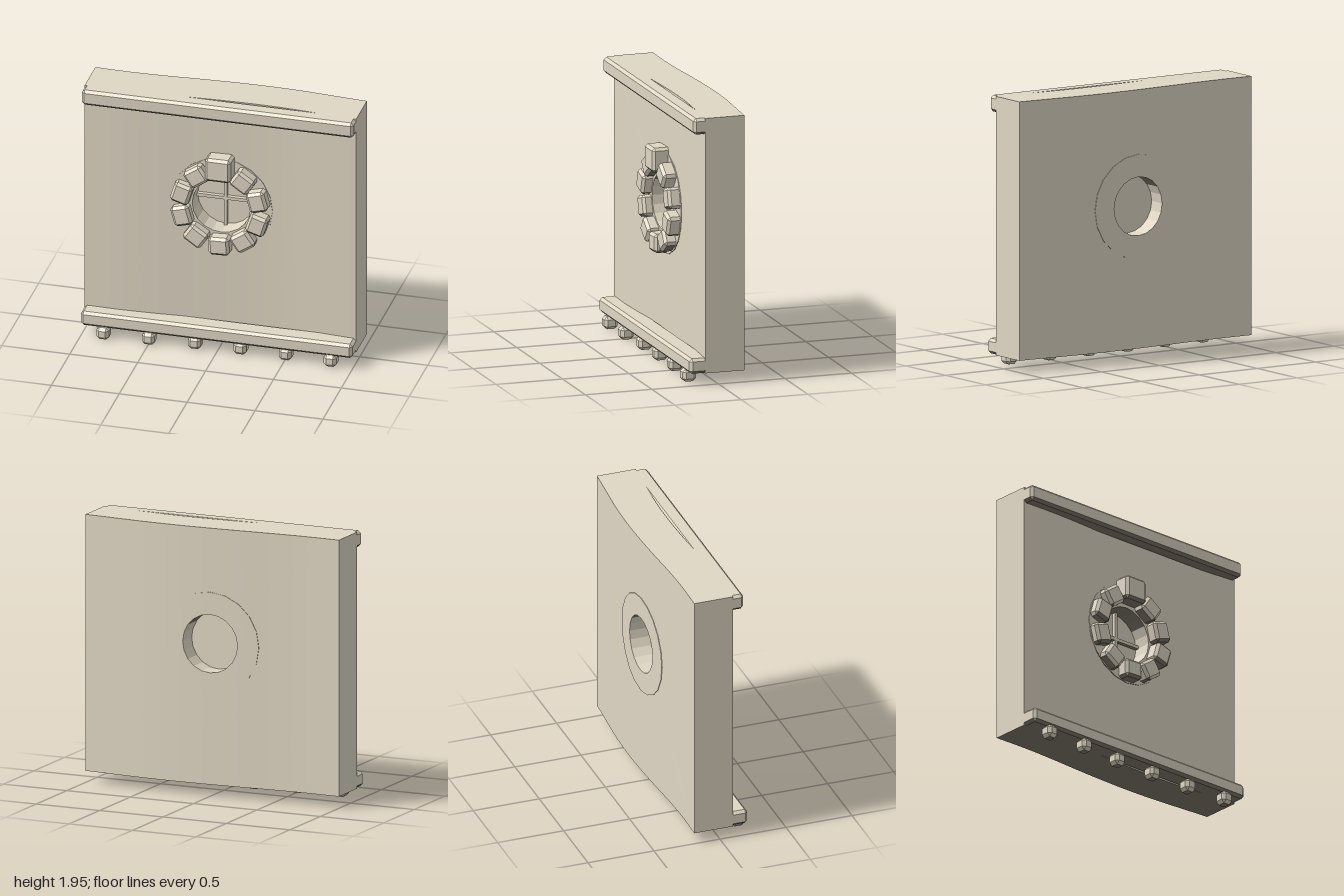
import * as THREE from 'three';
import { toCreasedNormals } from 'three/addons/utils/BufferGeometryUtils.js';
import { ConvexGeometry } from 'three/addons/geometries/ConvexGeometry.js';

const CY = 1.11; // height of the round window
const BOTTOM = 0.085, TOP = 1.95;

// gentle bow of the wall in z along x
const bow = new THREE.SplineCurve(
  [0, 0.004, -0.004, -0.02, -0.033, -0.039, -0.034, -0.017, 0].map((z, i) => new THREE.Vector2(-1 + i * 0.25, z))
);
const wave = (x) => bow.getPoint(THREE.MathUtils.clamp((x + 1) / 2, 0, 1)).y;

// bowed slab with a round hole; outer(a) gives the outline radius at each angle
function holedSlab(angles, inner, outer, front, back, steps) {
  const pos = [], index = [], m = 2 * (steps + 1), n = angles.length;
  for (const a of angles) {
    const R = outer(a);
    for (let j = 0; j < m; j++) {
      const isFront = j <= steps;
      const t = (isFront ? j : m - 1 - j) / steps;
      const r = inner + (R - inner) * t;
      const x = r * Math.cos(a);
      pos.push(x, CY + r * Math.sin(a), (isFront ? front : back) + wave(x));
    }
  }
  for (let i = 0; i < n; i++) {
    for (let j = 0; j < m; j++) {
      const k = (j + 1) % m, i2 = (i + 1) % n;
      const a = i * m + j, b = i * m + k, c = i2 * m + k, d = i2 * m + j;
      index.push(a, b, c, a, c, d);
    }
  }
  const g = new THREE.BufferGeometry();
  g.setAttribute('position', new THREE.Float32BufferAttribute(pos, 3));
  g.setIndex(index);
  return toCreasedNormals(g, 0.25);
}

// box with all edges chamfered by b
function chamferBox(w, h, d, b) {
  const pts = [];
  for (const x of [-w / 2, w / 2]) for (const y of [-h / 2, h / 2]) for (const z of [-d / 2, d / 2]) {
    const sx = Math.sign(x) * b, sy = Math.sign(y) * b, sz = Math.sign(z) * b;
    pts.push(
      new THREE.Vector3(x, y - sy, z - sz),
      new THREE.Vector3(x - sx, y, z - sz),
      new THREE.Vector3(x - sx, y - sy, z)
    );
  }
  return new ConvexGeometry(pts);
}

// geometry groups: 1 for undersides (normal below the limit), 0 for the rest
function markUndersides(geometry, angle, limit) {
  const g = geometry.index ? geometry.toNonIndexed() : geometry;
  g.clearGroups();
  const p = g.attributes.position, tri = new THREE.Triangle(), normal = new THREE.Vector3();
  let start = 0, current = -1;
  for (let i = 0; i <= p.count; i += 3) {
    let id = -1;
    if (i < p.count) {
      tri.setFromAttributeAndIndices(p, i, i + 1, i + 2).getNormal(normal);
      id = normal.x * Math.sin(angle) + normal.y * Math.cos(angle) < limit ? 1 : 0;
    }
    if (id !== current) {
      if (i > start) g.addGroup(start, i - start, current);
      start = i;
      current = id;
    }
  }
  return g;
}

export function createModel() {
  const root = new THREE.Group();
  root.name = 'wallPanel';
  const stone = new THREE.MeshStandardMaterial({ color: 0xe0d7c4 });
  stone.name = 'stone';
  const darkStone = new THREE.MeshStandardMaterial({ color: 0x7d776b });
  darkStone.name = 'darkStone';

  const add = (name, geometry, x, y, z, { parent = root, turn = 0, limit = -0.6 } = {}) => {
    const mesh = new THREE.Mesh(markUndersides(geometry, turn, limit), [stone, darkStone]);
    mesh.name = name;
    mesh.position.set(x, y, z);
    mesh.rotation.z = turn;
    parent.add(mesh);
  };
  const group = (name) => {
    const g = new THREE.Group();
    g.name = name;
    root.add(g);
    return g;
  };

  // wall: rectangular outline, sampled through its exact corners
  const angles = [];
  for (let i = 0; i < 96; i++) angles.push((i / 96) * Math.PI * 2);
  for (const x of [-1, 1]) for (const y of [BOTTOM, TOP]) {
    angles.push((Math.atan2(y - CY, x) + Math.PI * 2) % (Math.PI * 2));
  }
  angles.sort((a, b) => a - b);
  const toEdge = (a) => {
    const c = Math.cos(a), s = Math.sin(a);
    return Math.min(1 / Math.abs(c), (s > 0 ? TOP - CY : CY - BOTTOM) / Math.max(Math.abs(s), 1e-6));
  };
  add('wall', holedSlab(angles, 0.3, toEdge, 0.099, -0.195, 10), 0, 0, 0);

  // round window lining, slightly proud of both wall faces
  const ringAngles = Array.from({ length: 20 }, (_, i) => (i / 20) * Math.PI * 2);
  add('windowRing', holedSlab(ringAngles, 0.212, () => 0.375, 0.104, -0.199, 4), 0, 0, 0);

  // closed pane with crossing bars
  const pane = new THREE.CylinderGeometry(0.22, 0.22, 0.02, 20);
  pane.rotateX(Math.PI / 2);
  add('pane', pane, 0, CY, -0.08);
  add('verticalBar', new THREE.BoxGeometry(0.024, 0.43, 0.03), 0, CY, -0.055);
  add('horizontalBar', new THREE.BoxGeometry(0.43, 0.024, 0.03), 0, CY + 0.005, -0.055);

  // window surround: ten blocks, the top one a larger keystone
  const surround = group('windowSurround');
  const jitter = [0.01, -0.008, 0.004, -0.012, 0.006];
  for (let i = 0; i < 10; i++) {
    const a = Math.PI / 2 + (i / 10) * Math.PI * 2;
    const key = i === 0;
    const r = key ? 0.325 : 0.292;
    const j = jitter[i % 5];
    add(
      key ? 'keystone' : 'surroundBlock',
      key ? chamferBox(0.19, 0.18, 0.15, 0.02) : chamferBox(0.154, 0.138, 0.13, 0.02),
      r * Math.cos(a), CY + r * Math.sin(a), key ? 0.108 : 0.09 + j * 0.5,
      { parent: surround, turn: a - Math.PI / 2 + (key ? 0 : j * 4) }
    );
  }

  // top and bottom ledges, their backs sunk into the wall
  add('topLedge', chamferBox(2, 0.118, 0.123, 0.02), 0, 1.891, 0.1215);
  add('bottomLedge', chamferBox(2, 0.11, 0.153, 0.02), 0, 0.14, 0.1365);

  // small blocks hanging under the bottom ledge
  const dentils = group('dentils');
  const frontZ = [0.237, 0.23, 0.208, 0.205, 0.208, 0.222];
  frontZ.forEach((z, i) => {
    add('dentil', chamferBox(0.094, 0.092, 0.1, 0.022), -0.835 + i * 0.334, 0.046, z - 0.05, { parent: dentils, limit: -0.8 });
  });

  return root;
}
